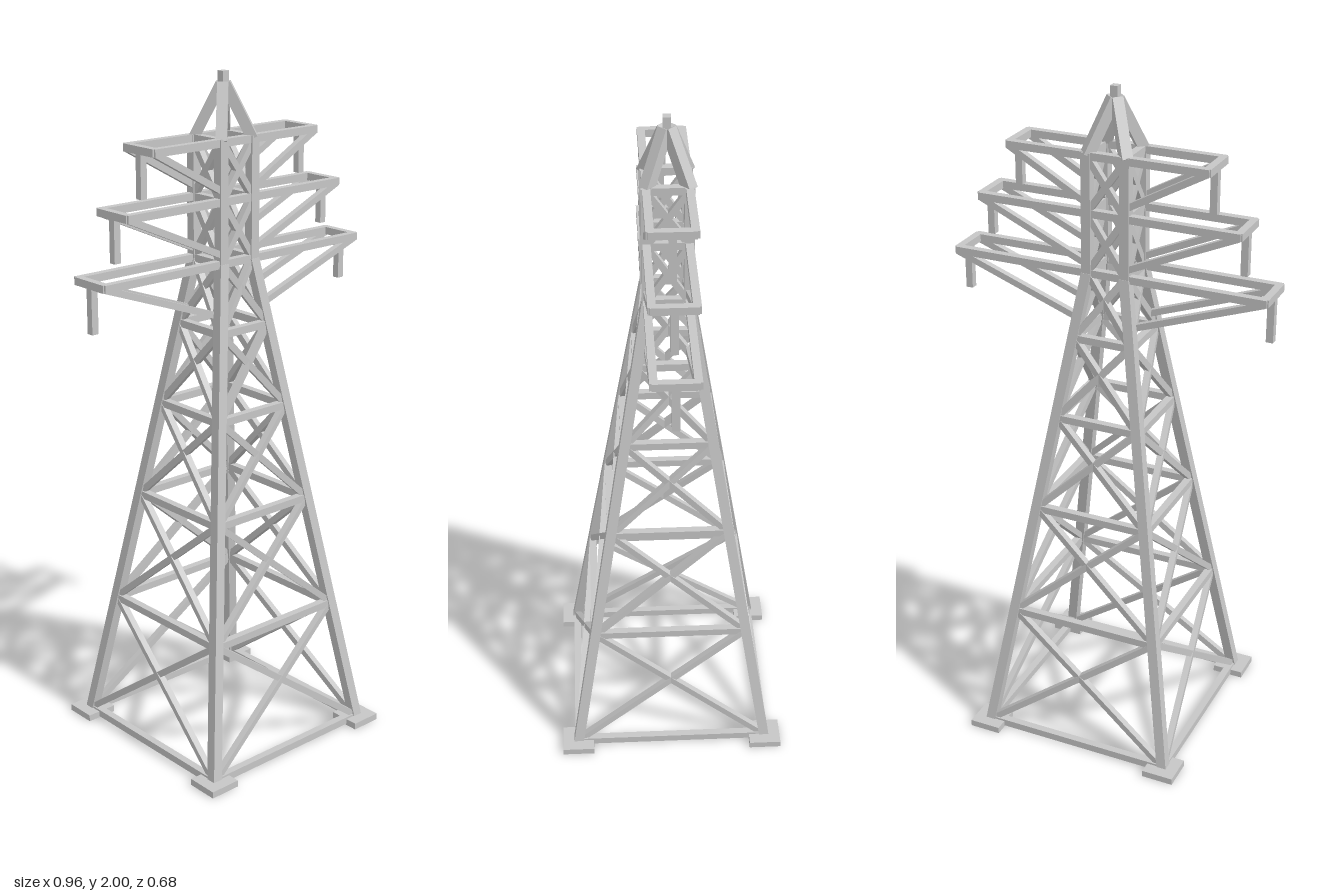
import * as THREE from 'three';

const steel = new THREE.MeshStandardMaterial({ color: 0xc6c6c6 });
steel.name = 'galvanised steel';

const V = (x, y, z) => new THREE.Vector3(x, y, z);

// Square bar running from a to b
function beam(group, name, a, b, w) {
  const mesh = new THREE.Mesh(new THREE.BoxGeometry(w, w, a.distanceTo(b)), steel);
  mesh.name = name;
  mesh.position.copy(a).add(b).multiplyScalar(0.5);
  mesh.lookAt(b);
  group.add(mesh);
}

function block(group, name, size, pos) {
  const mesh = new THREE.Mesh(new THREE.BoxGeometry(...size), steel);
  mesh.name = name;
  mesh.position.set(...pos);
  group.add(mesh);
}

// Leaning post whose horizontal section stays square to the axes
function post(group, name, a, b, w) {
  const geo = new THREE.BoxGeometry(w, b.y - a.y, w);
  const p = geo.attributes.position;
  for (let i = 0; i < p.count; i++) {
    const end = p.getY(i) < 0 ? a : b;
    p.setXYZ(i, p.getX(i) + end.x, end.y, p.getZ(i) + end.z);
  }
  geo.computeVertexNormals();
  const mesh = new THREE.Mesh(geo, steel);
  mesh.name = name;
  group.add(mesh);
}

export function createModel() {
  const model = new THREE.Group();
  model.name = 'transmissionTower';

  const WAIST = 1.475, TOP = 1.815, BASE = 0.292, CAGE = 0.058;
  const half = (y) => y >= WAIST ? CAGE : BASE + (CAGE - BASE) * (y - 0.01) / (WAIST - 0.01);
  const levels = [0.015, 0.403, 0.747, 1.037, 1.282, WAIST, 1.651, TOP];

  // Legs, cage posts, foundation pads and peak
  const frame = new THREE.Group();
  frame.name = 'mainFrame';
  for (const sx of [-1, 1]) for (const sz of [-1, 1]) {
    const at = (h, y) => V(sx * h, y, sz * h);
    post(frame, 'leg', at(BASE, 0.01), at(CAGE, WAIST), 0.03);
    post(frame, 'cagePost', at(CAGE, WAIST), at(CAGE, TOP + 0.01), 0.028);
    beam(frame, 'peakStrut', at(CAGE, TOP), at(0.004, 1.965), 0.031);
    block(frame, 'footPad', [0.096, 0.02, 0.096], [sx * BASE, 0.01, sz * BASE]);
  }
  block(frame, 'peakTip', [0.022, 0.06, 0.022], [0, 1.97, 0]);
  model.add(frame);

  // Lattice on four sides: a horizontal at each level and a cross in each panel
  for (let side = 0; side < 4; side++) {
    const face = new THREE.Group();
    face.name = 'latticeFace';
    face.rotation.y = side * Math.PI / 2;
    levels.forEach((y, i) => {
      const h = half(y);
      beam(face, 'horizontal', V(-h, y, h), V(h, y, h), 0.022);
      const top = levels[i + 1];
      if (top === undefined) return;
      const t = half(top);
      for (const s of [-1, 1]) {
        beam(face, 'crossBrace', V(-s * h, y, h), V(s * t, top, t), 0.019);
      }
    });
    model.add(face);
  }

  // Cross arms: height, reach, hanger bottom, strut root height
  const arms = [
    [WAIST, 0.468, 1.338, 1.33],
    [1.651, 0.387, 1.52, 1.5],
    [TOP, 0.293, 1.682, 1.68],
  ];
  for (const [y, reach, low, root] of arms) {
    const arm = new THREE.Group();
    arm.name = 'crossArm';
    for (const sz of [-1, 1]) {
      const z = sz * CAGE;
      beam(arm, 'armRail', V(-reach - 0.007, y, z), V(reach + 0.007, y, z), 0.022);
      for (const sx of [-1, 1]) {
        beam(arm, 'armStrut', V(sx * half(root), root, z), V(sx * reach, y - 0.004, z), 0.019);
      }
    }
    for (const sx of [-1, 1]) {
      block(arm, 'armEnd', [0.022, 0.022, 2 * CAGE + 0.01], [sx * reach, y, 0]);
      block(arm, 'hanger', [0.021, y - low, 0.021], [sx * reach, (y + low) / 2, 0]);
    }
    model.add(arm);
  }

  return model;
}
